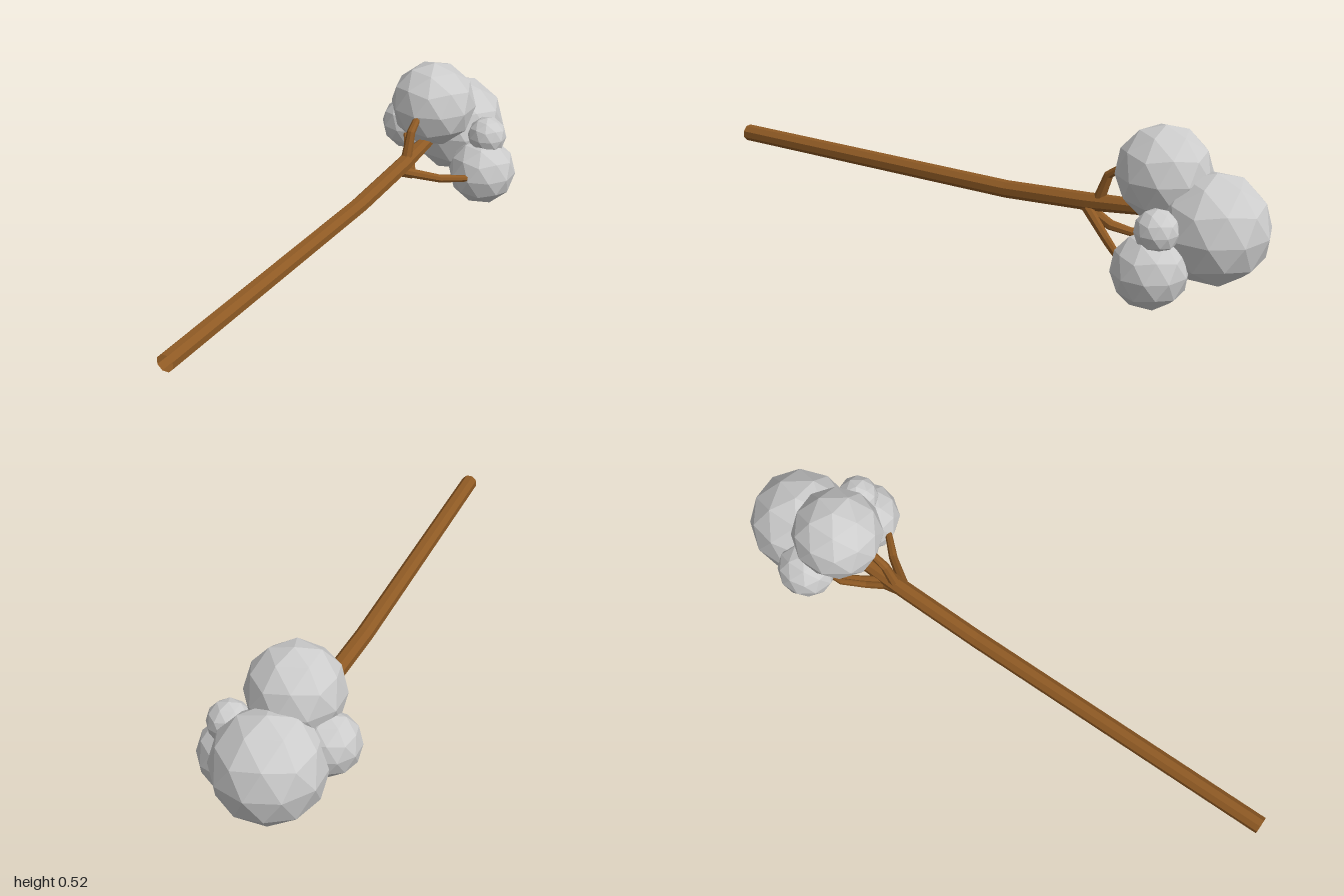
import * as THREE from 'three';

const bark = new THREE.MeshStandardMaterial({ color: 0x8f5a24, flatShading: true, side: THREE.DoubleSide });
bark.name = 'brown bark';
const leaves = new THREE.MeshStandardMaterial({ color: 0xcccccc, flatShading: true });
leaves.name = 'grey foliage';

// Open faceted tube through points [x, y, z, radius]
function limb(name, pts, sides = 8) {
  const p = pts.map(a => new THREE.Vector3(a[0], a[1], a[2]));
  const pos = [], index = [];
  const side = new THREE.Vector3(), up = new THREE.Vector3();
  p.forEach((c, i) => {
    const before = p[Math.max(i - 1, 0)], after = p[Math.min(i + 1, p.length - 1)];
    const dir = after.clone().sub(before).normalize();
    // carry the previous ring's frame forward so the tube does not twist
    if (i === 0) side.set(1, 0, 0);
    if (Math.abs(side.dot(dir)) > 0.95) side.set(0, 1, 0);
    side.addScaledVector(dir, -side.dot(dir)).normalize();
    up.crossVectors(dir, side);
    for (let k = 0; k < sides; k++) {
      const a = (k + 0.5) / sides * Math.PI * 2;
      const v = c.clone().addScaledVector(side, Math.cos(a) * pts[i][3]).addScaledVector(up, Math.sin(a) * pts[i][3]);
      pos.push(v.x, v.y, v.z);
      if (i > 0) {
        const n = (k + 1) % sides, r = i * sides, q = r - sides;
        index.push(q + k, q + n, r + k, q + n, r + n, r + k);
      }
    }
  });
  const g = new THREE.BufferGeometry();
  g.setAttribute('position', new THREE.Float32BufferAttribute(pos, 3));
  g.setIndex(index);
  g.computeVertexNormals();
  const mesh = new THREE.Mesh(g, bark);
  mesh.name = name;
  return mesh;
}

// Faceted ball with a corner pointing straight up
function clump(name, x, y, z, r) {
  const g = new THREE.IcosahedronGeometry(r, 1);
  g.rotateX(-Math.atan((1 + Math.sqrt(5)) / 2));
  g.rotateY(Math.PI / 2);
  const mesh = new THREE.Mesh(g, leaves);
  mesh.name = name;
  mesh.position.set(x, y, z);
  return mesh;
}

export function createModel() {
  const tree = new THREE.Group();
  tree.name = 'fallenTree';

  // Long trunk lying along z, bending up slightly towards the crown
  tree.add(limb('trunk', [
    [-0.034, 0.203, 1, 0.029], [-0.034, 0.203, -0.1, 0.029],
    [-0.034, 0.222, -0.4, 0.029], [-0.034, 0.24, -0.58, 0.025], [-0.034, 0.25, -0.7, 0.02],
  ]));

  // Branches reaching into the foliage
  tree.add(limb('upperBranch', [
    [-0.034, 0.215, -0.43, 0.02], [-0.034, 0.325, -0.47, 0.015], [-0.034, 0.37, -0.53, 0.012], [-0.034, 0.39, -0.58, 0.01],
  ]));
  tree.add(limb('lowerLeftBranch', [
    [-0.034, 0.208, -0.39, 0.018], [0.06, 0.145, -0.52, 0.015], [0.135, 0.13, -0.6, 0.012], [0.15, 0.128, -0.63, 0.01],
  ]));
  tree.add(limb('lowerRightBranch', [
    [-0.034, 0.212, -0.38, 0.019], [-0.036, 0.158, -0.48, 0.017],
    [-0.065, 0.137, -0.54, 0.014], [-0.105, 0.133, -0.62, 0.013], [-0.11, 0.135, -0.72, 0.01],
  ]));
  tree.add(limb('rightBranch', [
    [-0.034, 0.226, -0.46, 0.014], [-0.085, 0.226, -0.54, 0.01], [-0.145, 0.24, -0.64, 0.007],
  ]));

  // Foliage clumps
  tree.add(clump('topFoliage', -0.04, 0.367, -0.655, 0.153));
  tree.add(clump('backFoliage', -0.03, 0.225, -0.832, 0.177));
  tree.add(clump('lowerLeftFoliage', 0.14, 0.121, -0.703, 0.121));
  tree.add(clump('rightFoliage', -0.163, 0.248, -0.705, 0.099));
  tree.add(clump('smallLeftFoliage', 0.145, 0.252, -0.723, 0.07));
  return tree;
}
